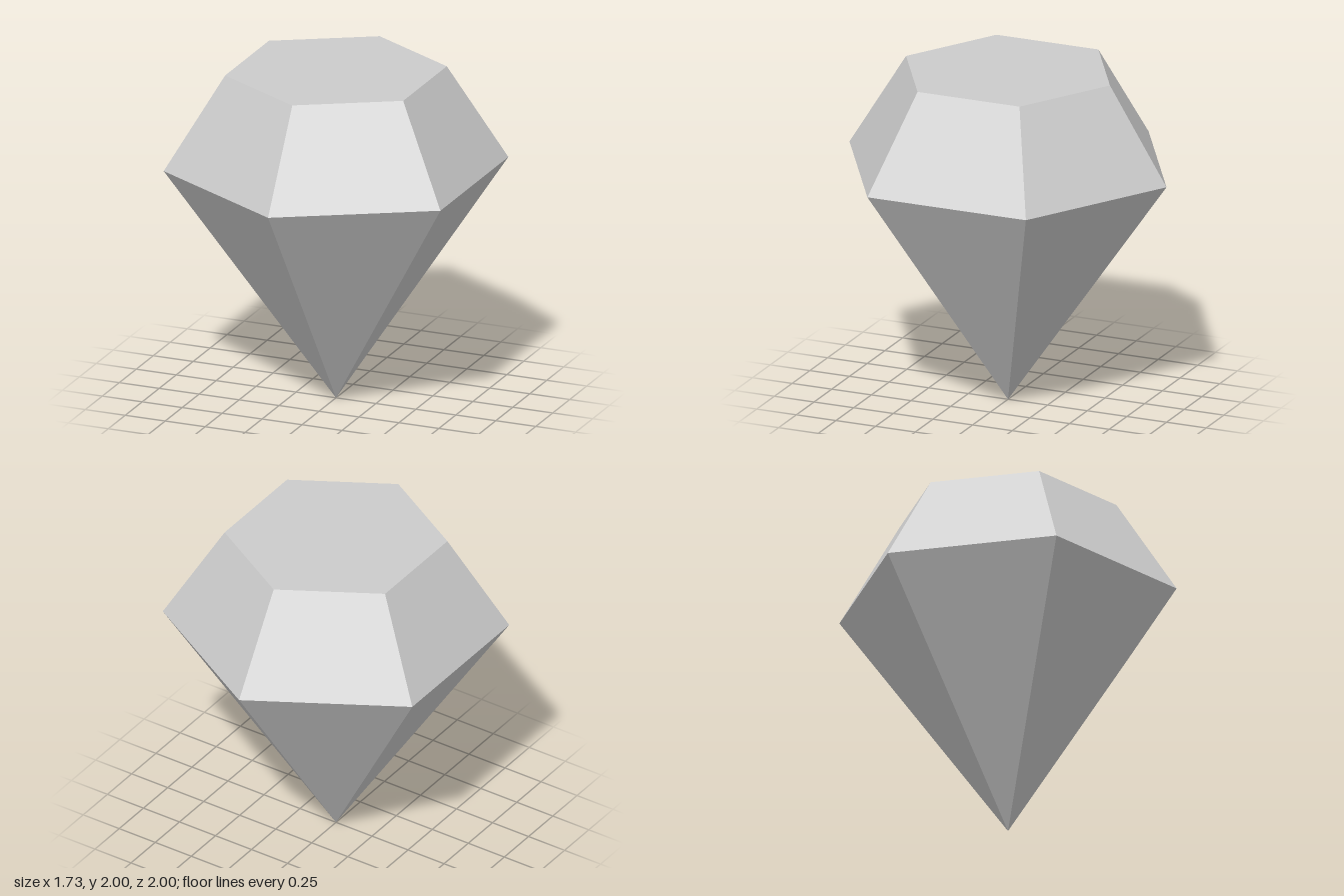
import * as THREE from 'three';

const SIDES = 6;
const GIRDLE_Y = 1.43, TOP_Y = 2;
const GIRDLE_R = 1, TABLE_R = 0.643;

export function createModel() {
  const gem = new THREE.Group();
  gem.name = 'gem';
  const stone = new THREE.MeshStandardMaterial({ color: 0xcccccc, flatShading: true });
  stone.name = 'grey stone';

  // One band of six facets between two [radius, height] rings, listed bottom up or outside in
  const addFacets = (name, from, to) => {
    const profile = [new THREE.Vector2(...from), new THREE.Vector2(...to)];
    const mesh = new THREE.Mesh(new THREE.LatheGeometry(profile, SIDES), stone);
    mesh.name = name;
    gem.add(mesh);
  };

  addFacets('pavilion', [0, 0], [GIRDLE_R, GIRDLE_Y]); // lower point
  addFacets('crown', [GIRDLE_R, GIRDLE_Y], [TABLE_R, TOP_Y]); // sloping upper facets
  addFacets('table', [TABLE_R, TOP_Y], [0, TOP_Y]); // flat top

  return gem;
}
